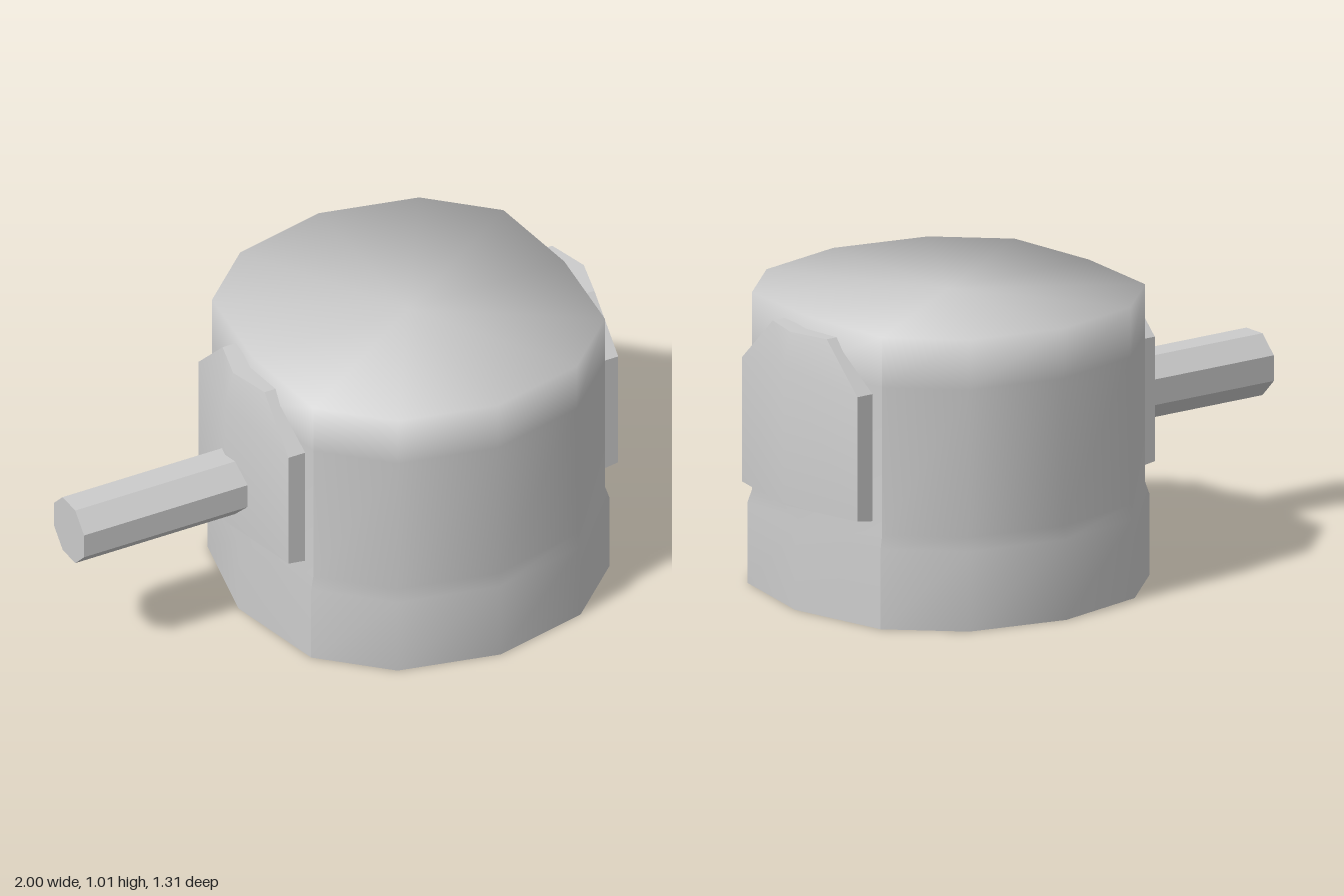
import * as THREE from 'three';
import { toCreasedNormals } from 'three/addons/utils/BufferGeometryUtils.js';

const CX = 0.3; // the housing stands off centre, the shaft reaches to -x

function geometry(positions, index) {
  const g = new THREE.BufferGeometry();
  g.setAttribute('position', new THREE.Float32BufferAttribute(positions, 3));
  g.setIndex(index);
  g.computeVertexNormals();
  return g;
}

// Twelve-sided housing: smooth front and back, creased sides, softly shaded lid
function housingGeometry() {
  const quarter = [[0.65, 0], [0.57, 0.37], [0.35, 0.575], [0, 0.655]];
  const ring = [
    ...quarter,
    ...quarter.slice(0, 3).reverse().map(([x, z]) => [-x, z]),
    ...quarter.slice(1).map(([x, z]) => [-x, -z]),
    ...quarter.slice(1, 3).reverse().map(([x, z]) => [x, -z]),
  ];
  const n = ring.length;
  const creased = new Set([1, 5, 7, 11]);
  const levels = [[0, 1], [0.28, 1], [0.325, 0.977], [0.84, 0.977], [1.015, 0.977]]; // y, scale
  const top = levels.length - 1;
  const pos = [], index = [], ids = new Map();

  // One vertex per level and column; creased columns split below the rim
  const vertex = (l, col, seg) => {
    const i = col % n;
    const split = creased.has(i) && l < top && seg === i ? 'b' : '';
    const key = `${l},${i}${split}`;
    if (!ids.has(key)) {
      const [y, s] = levels[l];
      const [x, z] = ring[i];
      const dent = l === top && z === 0 ? 0.04 * Math.sign(x) : 0;
      ids.set(key, pos.length / 3);
      pos.push(CX + x * s - dent, y, z * s);
    }
    return ids.get(key);
  };
  for (let l = 0; l < top; l++) {
    for (let i = 0; i < n; i++) {
      const a = vertex(l, i, i), b = vertex(l, i + 1, i);
      const c = vertex(l + 1, i, i), d = vertex(l + 1, i + 1, i);
      index.push(a, c, b, b, c, d);
    }
  }
  // Lid, sharing the rim vertices
  const centre = pos.length / 3;
  pos.push(CX, levels[top][0], 0);
  for (let i = 0; i < n; i++) index.push(centre, vertex(top, i + 1, i), vertex(top, i, i));
  // Flat underside with its own vertices
  const under = pos.length / 3;
  pos.push(CX, 0, 0);
  ring.forEach(([x, z]) => pos.push(CX + x, 0, z));
  for (let i = 0; i < n; i++) index.push(under, under + 1 + i, under + 1 + (i + 1) % n);

  // Rim normals lean halfway between wall and lid
  const g = geometry(pos, index);
  ring.forEach(([x, z], i) => {
    const v = new THREE.Vector3(x, 0, z).normalize().setY(1).normalize();
    g.attributes.normal.setXYZ(vertex(top, i, i), v.x, v.y, v.z);
  });
  return g;
}

// Side plate with clipped upper corners and a soft central ridge; side is +1 or -1
function plateGeometry(side) {
  const outline = [ // z, y, distance from the housing axis
    [0.32, 0.375, 0.63], [0, 0.375, 0.7], [-0.32, 0.375, 0.63], [-0.32, 0.81, 0.63],
    [-0.15, 0.975, 0.63], [0, 0.975, 0.67], [0.15, 0.975, 0.63], [0.32, 0.81, 0.63],
  ];
  const n = outline.length, back = n + 1, pos = [], index = [];
  for (const depth of [0, 0.07]) {
    outline.forEach(([z, y, d]) => {
      const drop = y < 0.4 ? depth * 0.14 : 0; // underside slopes slightly
      pos.push(CX + side * (d - depth), y - drop, z);
    });
    pos.push(CX + side * (0.7 - depth), 0.86, 0); // ridge bend
  }
  const add = (a, b, c) => index.push(...(side > 0 ? [a, b, c] : [a, c, b]));
  for (let i = 0; i < n; i++) {
    const j = (i + 1) % n;
    add(n, i, j);
    add(back + n, back + j, back + i);
    add(i, back + i, j);
    add(j, back + i, back + j);
  }
  return toCreasedNormals(geometry(pos, index), 0.65);
}

export function createModel() {
  const model = new THREE.Group();
  model.name = 'housingWithShaft';
  const smooth = new THREE.MeshStandardMaterial({ color: 0xcccccc });
  const flat = new THREE.MeshStandardMaterial({ color: 0xcccccc, flatShading: true });
  const add = (name, geo, material) => {
    const mesh = new THREE.Mesh(geo, material);
    mesh.name = name;
    model.add(mesh);
    return mesh;
  };

  add('housing', housingGeometry(), smooth);
  add('leftPlate', plateGeometry(1), smooth);
  add('rightPlate', plateGeometry(-1), smooth);

  // Octagonal shaft out of the right plate
  const shaftGeo = new THREE.CylinderGeometry(0.117, 0.117, 0.68, 8);
  shaftGeo.rotateY(Math.PI / 8).rotateZ(Math.PI / 2);
  add('shaft', shaftGeo, flat).position.set(-0.66, 0.54, 0.005);

  return model;
}
